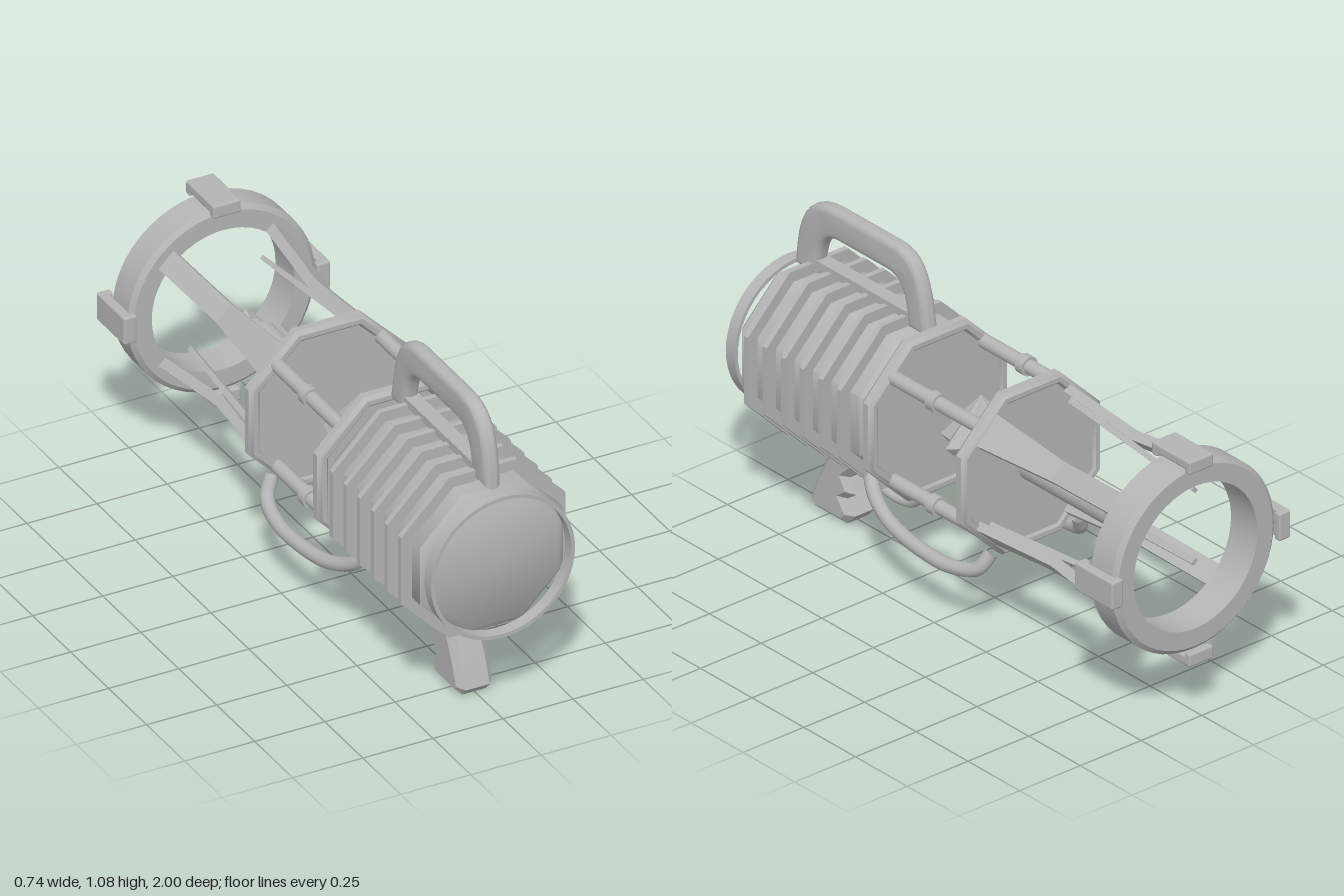
import * as THREE from 'three';
import { toCreasedNormals } from 'three/addons/utils/BufferGeometryUtils.js';
import { RoundedBoxGeometry } from 'three/addons/geometries/RoundedBoxGeometry.js';

const AXIS_Y = 0.555;
const OCT = 1 / Math.cos(Math.PI / 8); // apothem to corner radius

export function createModel() {
  const root = new THREE.Group();
  root.name = 'prop';
  const grey = new THREE.MeshStandardMaterial({ color: 0xb4b4b4 });
  grey.name = 'grey';

  // Everything on the barrel axis hangs from this group
  const barrel = new THREE.Group();
  barrel.name = 'barrelAssembly';
  barrel.position.y = AXIS_Y;
  root.add(barrel);

  const add = (parent, name, geometry, x = 0, y = 0, z = 0) => {
    const mesh = new THREE.Mesh(geometry, grey);
    mesh.name = name;
    mesh.position.set(x, y, z);
    parent.add(mesh);
    return mesh;
  };

  // Solid of revolution about z from [radius, z] points, in increasing z on the outside
  const turned = (points, sides, crease = 0.6) => {
    const scale = sides === 8 ? OCT : 1;
    const g = new THREE.LatheGeometry(
      points.map(([r, z]) => new THREE.Vector2(r * scale, z)), sides, Math.PI / 8);
    g.rotateX(Math.PI / 2);
    return toCreasedNormals(g, crease);
  };
  const rod = (r, length, sides = 20) =>
    new THREE.CylinderGeometry(r, r, length, sides).rotateX(Math.PI / 2);
  const tube = (points, r, segments = 40) => new THREE.TubeGeometry(
    new THREE.CatmullRomCurve3(points.map(p => new THREE.Vector3(...p))), segments, r, 12);
  // Side profile in [z, y], extruded across x with bevelled edges
  const sideExtrude = (shape, width, bevel, segments, crease) => {
    const g = new THREE.ExtrudeGeometry(shape, {
      depth: width - 2 * bevel, bevelEnabled: true, bevelSize: bevel, bevelThickness: bevel,
      bevelOffset: -bevel, bevelSegments: segments, curveSegments: 10,
    });
    g.translate(0, 0, -(width - 2 * bevel) / 2).rotateY(-Math.PI / 2);
    return toCreasedNormals(g, crease);
  };
  // Bar through stations [z, radius, width, thickness], radial along x
  const strut = stations => {
    const n = stations.length - 1;
    const g = new THREE.BoxGeometry(1, 1, 1, 1, 1, n);
    const p = g.attributes.position;
    for (let i = 0; i < p.count; i++) {
      const [z, r, w, t] = stations[Math.round((0.5 - p.getZ(i)) * n)];
      p.setXYZ(i, r + p.getX(i) * t, p.getY(i) * w, z);
    }
    return toCreasedNormals(g, 0.1);
  };

  // Octagonal body with tapered ends
  add(barrel, 'body', turned(
    [[0, 0.31], [0.225, 0.31], [0.255, 0.355], [0.255, 0.925], [0.222, 0.957], [0, 0.957]], 8, 0.79));
  // Cooling fins
  for (let i = 0; i < 6; i++) {
    const z = 0.41 + i * 0.09;
    add(barrel, 'fin', turned(
      [[0.2, z - 0.01], [0.293, z - 0.01], [0.293, z + 0.01], [0.2, z + 0.01]], 8));
  }
  // Thin round end ring
  add(barrel, 'endRing', turned(
    [[0.244, 0.957], [0.257, 0.957], [0.257, 1], [0.244, 1], [0.244, 0.957]], 48));

  // Octagonal chamber plates with a rounded rim
  for (const z of [0.29, -0.16]) {
    add(barrel, 'chamberPlate', turned([
      [0, z - 0.018], [0.25, z - 0.018], [0.258, z - 0.026], [0.274, z - 0.026], [0.286, z - 0.012],
      [0.286, z + 0.012], [0.274, z + 0.026], [0.258, z + 0.026], [0.25, z + 0.018], [0, z + 0.018]], 8));
  }

  // Chamber rods with collars
  for (const sx of [1, -1]) {
    for (const sy of [1, -1]) {
      add(barrel, 'chamberRod', rod(0.024, 0.42), sx * 0.185, sy * 0.185, 0.065);
      add(barrel, 'rodCollar', rod(0.033, 0.035), sx * 0.185, sy * 0.185, 0.067);
    }
  }

  // Star-shaped crystal: sixteen points around, two apexes
  const star = new THREE.ConeGeometry(1, 1, 16, 1, true);
  const crystalHalf = flip => {
    const g = star.clone();
    const p = g.attributes.position;
    for (let i = 0; i < p.count; i++) {
      if (p.getY(i) > 0) { p.setXYZ(i, 0, 0.145, 0); continue; }
      const a = Math.atan2(p.getX(i), p.getZ(i));
      const k = ((Math.round(a / (Math.PI / 8)) % 4) + 4) % 4;
      const r = k === 0 ? 0.147 : k === 2 ? 0.127 : 0.104;
      p.setXYZ(i, r * Math.sin(a), 0, r * Math.cos(a));
    }
    if (flip) g.rotateX(Math.PI);
    return toCreasedNormals(g, 0.1);
  };
  add(barrel, 'crystalTop', crystalHalf(false), 0, 0, 0.067);
  add(barrel, 'crystalBottom', crystalHalf(true), 0, 0, 0.067);

  // Emitter: stepped rod and small crystal tip
  add(barrel, 'emitterRod', rod(0.053, 0.42, 24), 0, 0, -0.378);
  add(barrel, 'emitterTip', rod(0.038, 0.07, 24), 0, 0, -0.607);
  add(barrel, 'tipCrystal', new THREE.OctahedronGeometry(0.05), 0, 0, -0.692);

  // Four arms and inner prongs reaching for the muzzle ring
  for (let i = 0; i < 4; i++) {
    const arm = new THREE.Group();
    arm.name = 'armSet';
    arm.rotation.z = Math.PI / 4 + i * Math.PI / 2;
    barrel.add(arm);
    add(arm, 'arm', strut([
      [-0.18, 0.258, 0.12, 0.03], [-0.51, 0.235, 0.075, 0.035], [-0.85, 0.272, 0.075, 0.035]]));
    add(arm, 'prong', strut([[-0.18, 0.235, 0.03, 0.025], [-0.815, 0.182, 0.022, 0.015]]));
  }

  // Muzzle ring with chamfered edges
  add(barrel, 'muzzleRing', turned([
    [0.255, -0.97], [0.318, -0.97], [0.334, -0.956], [0.334, -0.856], [0.318, -0.842],
    [0.255, -0.842], [0.255, -0.97]], 48));
  // Clamps hooked over the ring
  for (let i = 0; i < 4; i++) {
    const clamp = new THREE.Group();
    clamp.name = 'clamp';
    clamp.rotation.z = i * Math.PI / 2;
    barrel.add(clamp);
    add(clamp, 'clampPlate', new RoundedBoxGeometry(0.035, 0.1, 0.186, 2, 0.008), 0.351, 0, -0.907);
    for (const z of [-0.986, -0.828]) {
      add(clamp, 'clampLip', new RoundedBoxGeometry(0.045, 0.1, 0.028, 2, 0.008), 0.343, 0, z);
    }
  }

  // Carry handle arch
  const arch = new THREE.Shape();
  arch.moveTo(0.942, 0.81);
  arch.bezierCurveTo(0.935, 0.98, 0.9, 1.08, 0.75, 1.08);
  arch.lineTo(0.47, 1.08);
  arch.bezierCurveTo(0.34, 1.08, 0.32, 0.97, 0.298, 0.81);
  arch.lineTo(0.395, 0.81);
  arch.bezierCurveTo(0.41, 0.93, 0.43, 0.972, 0.5, 0.972);
  arch.lineTo(0.73, 0.972);
  arch.bezierCurveTo(0.8, 0.972, 0.825, 0.93, 0.838, 0.81);
  arch.closePath();
  add(root, 'carryHandle', sideExtrude(arch, 0.056, 0.022, 4, 0.7));
  // Rail under the handle
  add(root, 'topRail', new THREE.BoxGeometry(0.05, 0.028, 0.51), 0, 0.85, 0.645);

  // Pistol grip with finger notches
  const grip = new THREE.Shape([
    [0.715, 0.31], [0.717, 0.28], [0.8, 0.12], [0.834, 0.027], [0.81, 0], [0.663, 0], [0.626, 0.04],
    [0.663, 0.09], [0.62, 0.12], [0.652, 0.17], [0.604, 0.215], [0.583, 0.28], [0.583, 0.31],
  ].map(p => new THREE.Vector2(...p)));
  add(root, 'grip', sideExtrude(grip, 0.128, 0.022, 1, 0.3));

  // Trigger guard and trigger
  add(root, 'triggerGuard', tube([[0, 0.22, 0.625], [0, 0.18, 0.575], [0, 0.158, 0.48],
    [0, 0.178, 0.39], [0, 0.235, 0.35], [0, 0.31, 0.38]], 0.017));
  add(root, 'trigger', tube([[0, 0.3, 0.41], [0, 0.258, 0.45], [0, 0.205, 0.455]], 0.012, 12));

  // Lower hoses sweeping from the body to the rear plate
  for (const s of [1, -1]) {
    add(root, 'hose', tube([[s * 0.165, 0.33, 0.41], [s * 0.19, 0.28, 0.355], [s * 0.215, 0.238, 0.25],
      [s * 0.23, 0.217, 0.08], [s * 0.23, 0.22, -0.06], [s * 0.21, 0.25, -0.165],
      [s * 0.178, 0.31, -0.195]], 0.024, 48));
  }
  return root;
}
